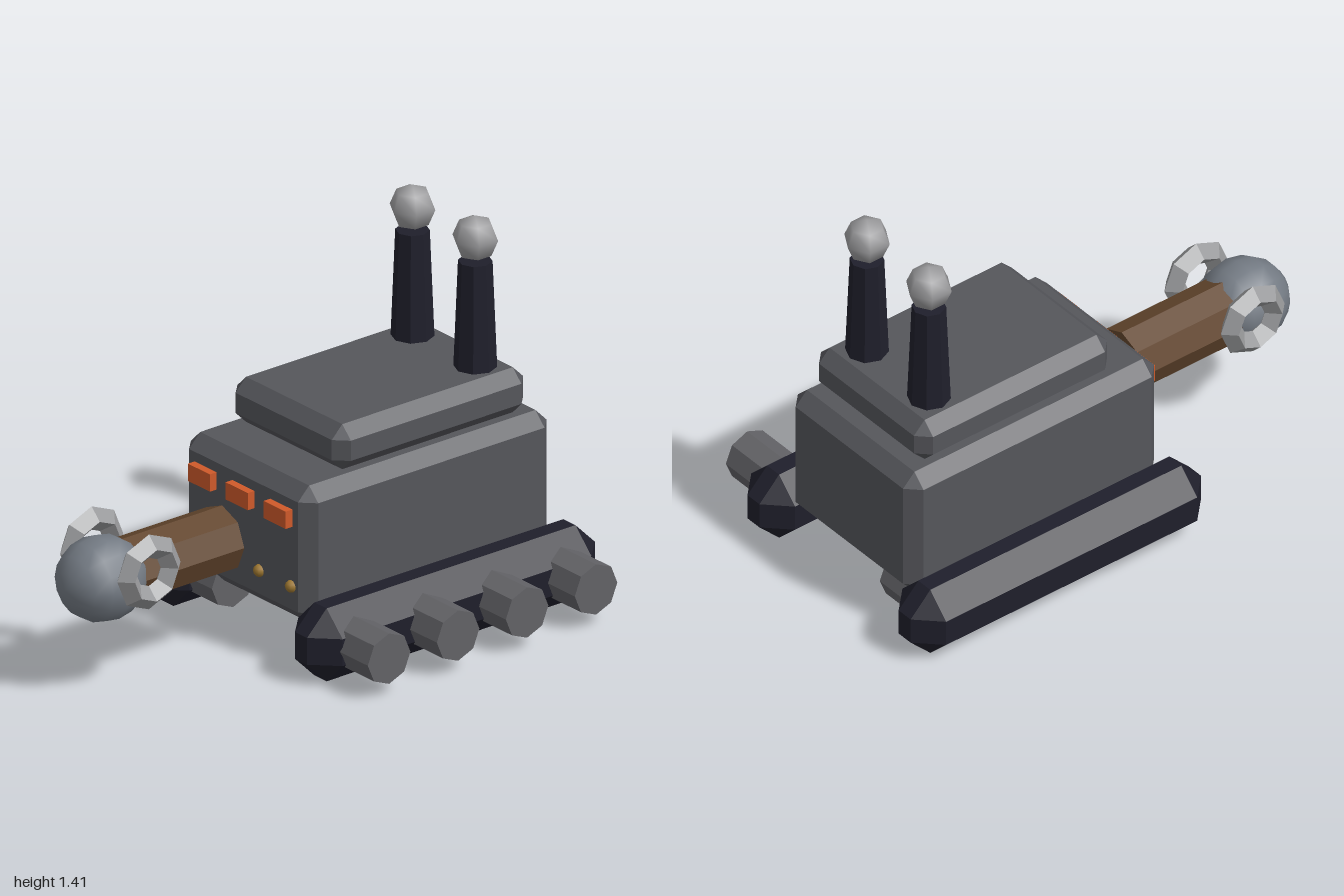
import * as THREE from 'three';
import { ConvexGeometry } from 'three/addons/geometries/ConvexGeometry.js';

export function createModel() {
  const model = new THREE.Group();
  const MID = -0.075; // centre line of the body

  const paint = (name, color, flatShading = false) => {
    const m = new THREE.MeshStandardMaterial({ color, flatShading });
    m.name = name;
    return m;
  };
  const hullGrey = paint('hull grey', 0x55565b, true);
  const wheelGrey = paint('wheel grey', 0x626266, true);
  const trackDark = paint('track dark', 0x1f1f2b, true);
  const brown = paint('brown', 0x62452c, true);
  const headGrey = paint('head blue grey', 0x747b84);
  const ballGrey = paint('ball grey', 0x9c9c9e);
  const ringGrey = paint('ring grey', 0x98999b, true);
  const orange = paint('lamp orange', 0xcf5a2a, true);
  const gold = paint('bolt gold', 0x9c7630);

  const add = (name, geometry, material, x, y, z) => {
    const mesh = new THREE.Mesh(geometry, material);
    mesh.name = name;
    mesh.position.set(x, y, z);
    model.add(mesh);
    return mesh;
  };

  // Box with every edge and corner cut off by b
  const chamferBox = (w, h, d, b) => {
    const pts = [];
    for (const sx of [-1, 1]) for (const sy of [-1, 1]) for (const sz of [-1, 1]) {
      const x = w / 2, y = h / 2, z = d / 2;
      for (const [px, py, pz] of [[x, y - b, z - b], [x - b, y, z - b], [x - b, y - b, z]])
        pts.push(new THREE.Vector3(sx * px, sy * py, sz * pz));
    }
    return new ConvexGeometry(pts);
  };

  // Hull and upper deck
  add('hull', chamferBox(0.69, 0.515, 1.11, 0.05), hullGrey, MID, 0.4145, -0.355);
  add('upperDeck', chamferBox(0.615, 0.17, 0.855, 0.047), hullGrey, MID, 0.757, -0.407);

  // Tracks, each with four wheels sticking out towards +x
  for (const [side, x, wheelEnd] of [['right', -0.49, -0.24], ['left', 0.34, 0.605]]) {
    add(side + 'Track', chamferBox(0.24, 0.275, 1.285, 0.087), trackDark, x, 0.1375, -0.3575);
    for (let i = 0; i < 4; i++) {
      const geo = new THREE.CylinderGeometry(0.095, 0.095, 0.25, 8).rotateZ(Math.PI / 2);
      add(side + 'Wheel', geo, wheelGrey, wheelEnd - 0.125, 0.14, 0.11 - i * 0.308);
    }
  }

  // Two chimneys topped with balls
  for (const s of [-1, 1]) {
    const x = MID + s * 0.17;
    add('chimney', new THREE.CylinderGeometry(0.06, 0.076, 0.4, 8), trackDark, x, 1.04, -0.695);
    const ball = new THREE.SphereGeometry(0.084, 6, 4).rotateY(Math.PI / 2);
    add('chimneyBall', ball, ballGrey, x, 1.325, -0.695);
  }

  // Neck, round head and ring ears
  const neck = new THREE.CylinderGeometry(0.12, 0.12, 0.45, 8).rotateX(Math.PI / 2);
  add('neck', neck, brown, MID, 0.417, 0.52);
  const head = new THREE.SphereGeometry(0.157, 14, 8).rotateX(Math.PI / 2).scale(1, 0.98, 1.05);
  add('head', head, headGrey, MID, 0.416, 0.835);
  for (const s of [-1, 1]) {
    const ring = new THREE.TorusGeometry(0.097, 0.044, 4, 8).rotateY(Math.PI / 2);
    add('earRing', ring, ringGrey, MID + s * 0.155, 0.468, 0.75);
  }

  // Lamps and bolts on the front of the hull
  for (const i of [-1, 0, 1])
    add('lamp', new THREE.BoxGeometry(0.12, 0.065, 0.06), orange, MID + i * 0.205, 0.553, 0.2);
  for (const i of [-1.5, -0.5, 0.5, 1.5])
    add('bolt', new THREE.SphereGeometry(0.023, 8, 6), gold, MID + i * 0.173, 0.295, 0.2);

  return model;
}
